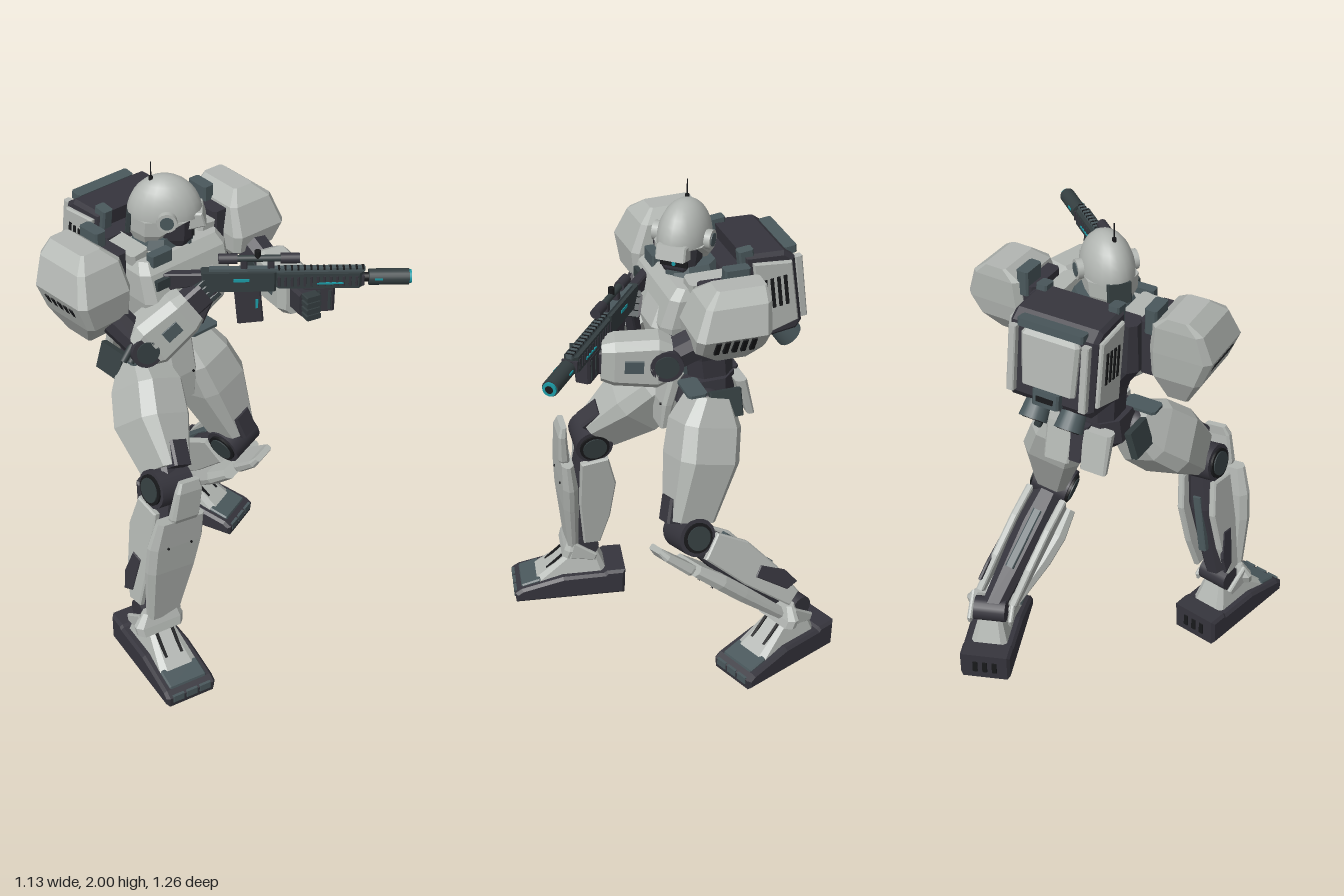
import * as THREE from 'three';

const mat = (name, color) => Object.assign(new THREE.MeshStandardMaterial({ color }), { name });
const V = (p) => new THREE.Vector3(...p);

// Stack of chamfered rectangles, rows are [y, width, depth, x, z]
function loft(rows, cut = 0.25) {
  const rings = [...rows].sort((a, b) => a[0] - b[0]).map(([y, w, d, x = 0, z = 0]) => {
    const c = cut * Math.min(w, d), a = w / 2, b = d / 2;
    return [[-a + c, b], [a - c, b], [a, b - c], [a, -b + c], [a - c, -b], [-a + c, -b], [-a, -b + c], [-a, b - c]]
      .map(([px, pz]) => [px + x, y, pz + z]);
  });
  const out = [], tri = (...ps) => ps.forEach((p) => out.push(...p));
  for (let r = 0; r < rings.length - 1; r++) for (let i = 0; i < 8; i++) {
    const j = (i + 1) % 8, lo = rings[r], hi = rings[r + 1];
    tri(lo[i], lo[j], hi[j]);
    tri(lo[i], hi[j], hi[i]);
  }
  const bot = rings[0], top = rings[rings.length - 1];
  for (let i = 1; i < 7; i++) { tri(top[0], top[i], top[i + 1]); tri(bot[0], bot[i + 1], bot[i]); }
  const g = new THREE.BufferGeometry();
  g.setAttribute('position', new THREE.Float32BufferAttribute(out, 3));
  g.computeVertexNormals();
  return g;
}
const block = (w, h, d, cut = 0.15) => loft([[-h / 2, w, d], [h / 2, w, d]], cut);
// Side outline of [z, y] points, given a width along x
function side(pts, width, b = 0.006) {
  const g = new THREE.ExtrudeGeometry(new THREE.Shape(pts.map((p) => new THREE.Vector2(...p))), {
    depth: width - 2 * b, bevelThickness: b, bevelSize: b, bevelOffset: -b, bevelSegments: 1 });
  return g.translate(0, 0, b - width / 2).rotateY(-Math.PI / 2);
}
function cyl(r, len, axis = 'y', r2 = r) {
  const g = new THREE.CylinderGeometry(r2, r, len, 18);
  return axis === 'x' ? g.rotateZ(Math.PI / 2) : axis === 'z' ? g.rotateX(Math.PI / 2) : g;
}
function add(parent, name, geo, material, pos = [0, 0, 0], rot = [0, 0, 0]) {
  const m = new THREE.Mesh(geo, material);
  m.name = name;
  m.position.set(...pos);
  m.rotation.set(...rot);
  parent.add(m);
}
function group(parent, name, pos, rot = [0, 0, 0]) {
  const g = new THREE.Group();
  g.name = name;
  g.position.set(...pos);
  g.rotation.set(...rot);
  parent.add(g);
  return g;
}
// Group at joint a whose -y axis runs to joint b, with +z near the hint
function limb(parent, name, a, b, hint = [0, 0, 1]) {
  const g = group(parent, name, a);
  const y = V(a).sub(V(b)).normalize(), x = y.clone().cross(V(hint)).normalize();
  g.quaternion.setFromRotationMatrix(new THREE.Matrix4().makeBasis(x, y, x.clone().cross(y)));
  g.userData.length = V(a).distanceTo(V(b));
  return g;
}

export function createModel() {
  const root = new THREE.Group();
  root.name = 'armouredRobot';
  const light = mat('lightGreyArmour', 0xb2b6b2), dark = mat('darkFrame', 0x36353d);
  const slate = mat('slateTrim', 0x4a585c), gun = mat('gunmetal', 0x343e40);
  const black = mat('black', 0x18191b), cyan = mat('cyanGlow', 0x1b9ba6);

  function leg(s, hip, knee, ankle, footAt, yaw) {
    const hint = [Math.sin(yaw) * 0.4, 0, Math.cos(yaw)];
    // Thigh
    const th = limb(root, 'thigh', hip, knee, hint), L = th.userData.length;
    add(th, 'hipJoint', new THREE.SphereGeometry(0.075, 16, 12), dark);
    add(th, 'thighArmour', loft([[0.05, 0.16, 0.15], [-0.06, 0.22, 0.25], [-0.2, 0.24, 0.26, s * 0.01],
      [-L + 0.06, 0.135, 0.19, 0, 0.01]], 0.18), light);
    add(th, 'thighCore', block(0.11, 0.14, 0.13), dark, [0, -L + 0.06, 0]);
    add(th, 'kneeHousing', block(0.085, 0.1, 0.06), dark, [0, -L + 0.1, 0.095]);
    // Shin
    const sh = limb(root, 'shin', knee, ankle, hint), S = -sh.userData.length;
    add(sh, 'kneeJoint', cyl(0.078, 0.15, 'x'), dark);
    for (const e of [-1, 1]) {
      add(sh, 'kneeRing', cyl(0.062, 0.012, 'x'), black, [e * 0.078, 0, 0]);
      add(sh, 'kneeCap', cyl(0.05, 0.014, 'x'), gun, [e * 0.082, 0, 0]);
      add(sh, 'calfPanel', side([[0.055, -0.08], [-0.06, -0.06], [-0.1, -0.2], [-0.085, -0.38], [-0.05, S + 0.06],
        [0.02, S + 0.06], [0.05, -0.3]], 0.03), light, [e * 0.075, 0, 0]);
      add(sh, 'shinBolt', cyl(0.005, 0.01, 'z'), black, [e * 0.055 - 0.01, -0.2, 0.128]);
    }
    add(sh, 'calfPiston', side([[0, -0.32], [-0.05, -0.31], [-0.09, -0.42], [-0.08, -0.5], [-0.03, -0.48]], 0.014, 0.003),
      dark, [s * 0.088, 0, 0]);
    add(sh, 'kneePad', loft([[0.09, 0.09, 0.025, 0, 0.125], [0.05, 0.12, 0.035, 0, 0.13], [-0.07, 0.13, 0.045, 0, 0.12],
      [-0.13, 0.1, 0.03, 0, 0.1]]), light);
    add(sh, 'shinGuard', loft([[-0.08, 0.22, 0.05, -0.01, 0.11], [-0.2, 0.25, 0.065, -0.01, 0.095], [-0.32, 0.23, 0.065, -0.01, 0.085],
      [S + 0.02, 0.15, 0.045, 0, 0.06]], 0.35), light);
    add(sh, 'calfCore', loft([[-0.04, 0.11, 0.11], [-0.2, 0.13, 0.15, 0, -0.005], [S, 0.09, 0.09]]), dark);
    add(sh, 'calfRail', block(0.035, 0.26, 0.03), slate, [0, -0.27, -0.075], [0.05, 0, 0]);
    // Foot
    const ft = group(root, 'foot', footAt, [0, yaw, 0]);
    const sole = side([[-0.235, 0], [0.235, 0], [0.24, 0.045], [0.21, 0.065], [0.03, 0.108], [-0.15, 0.11],
      [-0.16, 0.12], [-0.24, 0.12]], 0.22, 0.012);
    const p = sole.attributes.position;
    for (let i = 0; i < p.count; i++) p.setX(i, p.getX(i) * (0.97 + 0.12 * p.getZ(i)));
    sole.computeVertexNormals();
    add(ft, 'sole', sole, dark);
    add(ft, 'instep', loft([[0.08, 0.165, 0.33, 0, -0.005], [0.205, 0.1, 0.1, 0, -0.07]], 0.15), light);
    for (const e of [-1, 1]) {
      add(ft, 'instepGroove', block(0.012, 0.006, 0.17), black, [e * 0.035, 0.145, 0.07], [0.744, 0, 0]);
      add(ft, 'ankleFlap', side([[0.0, 0.2], [-0.11, 0.18], [-0.12, 0.21], [-0.02, 0.28]], 0.02), light, [e * 0.085, 0, 0]);
    }
    add(ft, 'toeCap', side([[0.215, 0.05], [0.208, 0.074], [0.13, 0.096], [0.12, 0.075]], 0.165), slate);
    for (const i of [-1, 0, 1]) {
      add(ft, 'toeTread', block(0.05, 0.03, 0.012), slate, [i * 0.06, 0.037, 0.236]);
      add(ft, 'heelVent', block(0.02, 0.05, 0.008), black, [i * 0.04, 0.06, -0.239]);
    }
    add(ft, 'ankleJoint', cyl(0.05, 0.13, 'x'), dark, [0, 0.24, -0.08]);
    add(ft, 'ankleGuard', loft([[0.2, 0.2, 0.06, s * 0.01, 0.0], [0.235, 0.21, 0.06, s * 0.01, -0.01], [0.285, 0.15, 0.04, 0, -0.02]], 0.35), light);
  }
  leg(-1, [-0.17, 1.12, -0.1], [-0.31, 0.81, 0.2], [-0.4, 0.23, 0.215], [-0.415, 0, 0.285], -0.19);
  leg(1, [0.11, 1.12, -0.15], [0.25, 0.64, -0.03], [0.305, 0.23, -0.46], [0.335, 0, -0.38], 0.36);

  // Pelvis, skirts and waist
  const body = group(root, 'body', [-0.04, 0, 0]);
  add(body, 'pelvis', loft([[1.05, 0.14, 0.14, 0, -0.17], [1.12, 0.28, 0.24, 0, -0.17], [1.22, 0.26, 0.22, 0, -0.18]]), dark);
  add(body, 'frontSkirt', loft([[0.99, 0.1, 0.03, 0, -0.01], [1.1, 0.13, 0.05, 0, -0.025], [1.23, 0.14, 0.06, 0, -0.06]]), light);
  for (const s of [-1, 1]) {
    add(body, 'hipFlap', block(0.14, 0.012, 0.08), slate, [s * 0.15, 1.215, -0.09]);
    add(body, 'hipPlate', block(0.03, 0.11, 0.13), gun, [s * 0.2, 1.15, -0.21], [0, 0, s * 0.3]);
    add(body, 'skirtBolt', cyl(0.005, 0.01, 'z'), black, [s * 0.04, 1.1, 0]);
    add(body, 'rearSkirt', loft([[1.04, 0.11, 0.03, s * 0.08, -0.345], [1.2, 0.13, 0.05, s * 0.075, -0.3]]), light);
  }
  add(body, 'rearSkirtCentre', loft([[1.06, 0.06, 0.03, 0, -0.34], [1.21, 0.08, 0.05, 0, -0.3]]), dark);
  add(body, 'waist', loft([[1.2, 0.22, 0.18, 0, -0.2], [1.3, 0.22, 0.19, 0, -0.19], [1.42, 0.28, 0.2, 0, -0.18]]), dark);
  add(body, 'belly', loft([[1.22, 0.1, 0.05, 0, -0.1], [1.33, 0.13, 0.06, 0, -0.085]]), slate);
  for (const i of [0, 1, 2]) add(body, 'bellyRib', block(0.08, 0.012, 0.01), black, [0, 1.25 + i * 0.028, -0.072 + i * 0.005]);

  // Chest
  add(body, 'chest', loft([[1.35, 0.26, 0.13, 0, -0.06], [1.42, 0.38, 0.24, 0, -0.08], [1.52, 0.42, 0.29, 0, -0.095],
    [1.63, 0.42, 0.25, 0, -0.11], [1.67, 0.38, 0.2, 0, -0.12]], 0.12), light);
  add(body, 'chestBack', loft([[1.4, 0.32, 0.14, 0, -0.22], [1.5, 0.46, 0.13, 0, -0.24], [1.7, 0.45, 0.09, 0, -0.255]]), dark);
  add(body, 'chestProw', loft([[1.4, 0.1, 0.04, 0.06, 0.03], [1.5, 0.2, 0.08, 0.06, 0.03], [1.6, 0.16, 0.04, 0.04, 0.0]], 0.4), light);
  add(body, 'collar', loft([[1.64, 0.26, 0.2, 0, -0.13], [1.71, 0.2, 0.16, 0, -0.13]]), slate);
  add(body, 'neck', cyl(0.06, 0.12), dark, [0, 1.7, -0.12]);
  for (const s of [-1, 1]) add(body, 'collarPlate', block(0.08, 0.05, 0.17), light, [s * 0.165, 1.67, -0.14], [0, 0, -s * 0.15]);
  add(body, 'collarBlock', block(0.1, 0.09, 0.04), slate, [-0.11, 1.65, -0.02]);
  add(body, 'chestVent', block(0.1, 0.04, 0.02), gun, [-0.12, 1.59, 0.03]);

  // Head, turned along the rifle
  const head = group(root, 'head', [-0.045, 1.76, -0.11], [0, 0.85, 0]);
  const dome = new THREE.SphereGeometry(1, 20, 8, 0, Math.PI * 2, 0, Math.PI / 2).scale(0.1, 0.152, 0.142);
  add(head, 'helmetDome', dome, light, [0, 0.028, 0]);
  add(head, 'helmetSkirt', loft([[-0.08, 0.13, 0.11, 0, -0.055], [-0.03, 0.185, 0.18, 0, -0.045], [0.03, 0.195, 0.275]], 0.34), light);
  add(head, 'brim', side([[0.14, 0.05], [0.155, -0.005], [0.08, -0.025], [0.03, 0.045]], 0.12), light);
  add(head, 'face', loft([[-0.12, 0.09, 0.08, 0, 0.035], [-0.06, 0.14, 0.13, 0, 0.04], [0.02, 0.16, 0.18, 0, 0.025]]), dark);
  add(head, 'visor', block(0.11, 0.022, 0.012), black, [0, -0.035, 0.106]);
  add(head, 'eye', cyl(0.008, 0.014, 'z'), cyan, [0, -0.035, 0.107]);
  add(head, 'chin', block(0.08, 0.05, 0.05), slate, [0, -0.095, 0.075]);
  add(head, 'rearPlate', block(0.09, 0.08, 0.02), gun, [0, 0.0, -0.135], [0.1, 0, 0]);
  for (const s of [-1, 1]) {
    add(head, 'earRim', cyl(0.038, 0.025, 'x'), light, [s * 0.105, 0.04, 0.01]);
    add(head, 'earDisc', cyl(0.026, 0.03, 'x'), slate, [s * 0.106, 0.04, 0.01]);
  }
  add(head, 'antennaBase', cyl(0.008, 0.03), black, [-0.01, 0.165, -0.05]);
  add(head, 'antenna', cyl(0.003, 0.085, 'y', 0.002), black, [-0.01, 0.198, -0.05]);

  // Shoulders
  for (const [s, x, low] of [[-1, -0.425, 0.03], [1, 0.345, -0.01]]) {
    const sp = group(root, 'shoulder', [x, 1.58, -0.13], [0, s * -0.03, 0]);
    add(sp, 'pauldron', loft([[0.185, 0.09, 0.19, -s * 0.01, -0.05], [0.14, 0.2, 0.25, -s * 0.01, -0.025], [0.03, 0.25, 0.29],
      [-0.05 - low, 0.2, 0.27, -s * 0.02], [-0.13 - low * 2, 0.09, 0.13, -s * 0.03, -0.02]], 0.1), light);
    add(sp, 'shoulderMount', block(0.09, 0.22, 0.18), dark, [-s * 0.125, 0.02, -0.03]);
    add(sp, 'shoulderClamp', block(0.05, 0.1, 0.1), slate, [-s * 0.12, 0.14, -0.08]);
    for (let i = 0; i < 5; i++) add(sp, 'pauldronVent', block(0.012, 0.07, 0.02), black,
      [s * (0.103 - low * 0.2), -0.01 - low * 0.5, -0.07 + i * 0.034], [0, 0, -s * 0.5]);
  }

  // Arms and hands
  function arm(shoulder, elbow, wrist, hint, width) {
    const up = limb(root, 'upperArm', shoulder, elbow);
    add(up, 'upperArmCore', loft([[0, 0.12, 0.12], [-up.userData.length, 0.11, 0.11]]), dark);
    const fa = limb(root, 'forearm', elbow, wrist, hint), L = fa.userData.length;
    add(fa, 'elbow', cyl(0.062, 0.14, 'x'), dark);
    add(fa, 'elbowRing', cyl(0.045, 0.15, 'x'), gun);
    add(fa, 'forearmArmour', loft([[0.02, width * 0.8, 0.15], [-0.03, width, 0.2], [-L * 0.8, width, 0.18], [-L, width * 0.8, 0.15]], 0.2), light);
    for (const e of [-1, 1]) add(fa, 'forearmPatch', block(0.008, 0.07, 0.05), slate, [e * width / 2, -L * 0.5, 0]);
    add(fa, 'palm', block(0.08, 0.08, 0.1), dark, [0, -L - 0.03, 0]);
    for (let i = 0; i < 4; i++) add(fa, 'finger', block(0.06, 0.055, 0.022), gun, [0, -L - 0.085, -0.039 + i * 0.026]);
  }
  arm([-0.4, 1.56, -0.12], [-0.29, 1.37, 0.04], [-0.1, 1.5, 0.09], [0.5, -0.8, 0.3], 0.15);
  arm([0.33, 1.58, -0.12], [0.31, 1.49, 0.09], [0.25, 1.5, 0.32], [0, 1, 0], 0.14);
  for (const i of [0, 1]) add(root, 'elbowSpur', cyl(0.014, 0.09), gun, [-0.36 + i * 0.035, 1.38 - i * 0.02, 0.05], [0, 0, -0.7]);

  // Rifle, pointing along its own +z
  const gunG = group(root, 'rifle', [-0.14, 1.59, 0.02], [0, 0.873, 0]);
  add(gunG, 'stock', side([[-0.02, 0.03], [0.13, 0.03], [0.13, -0.02], [0.03, -0.035], [-0.02, -0.07]], 0.04), dark);
  add(gunG, 'receiver', block(0.05, 0.08, 0.28), gun, [0, -0.005, 0.26]);
  add(gunG, 'handguard', block(0.056, 0.062, 0.33, 0.3), gun, [0, 0, 0.56]);
  add(gunG, 'topRail', block(0.025, 0.016, 0.58), slate, [0, 0.038, 0.44]);
  for (let i = 0; i < 14; i++) {
    add(gunG, 'handguardRib', block(0.062, 0.04, 0.01), dark, [0, 0, 0.41 + i * 0.024]);
    add(gunG, 'railSlot', block(0.026, 0.008, 0.008), black, [0, 0.043, 0.41 + i * 0.024]);
  }
  add(gunG, 'barrel', cyl(0.018, 0.06, 'z'), black, [0, 0, 0.735]);
  add(gunG, 'suppressor', cyl(0.031, 0.15, 'z'), gun, [0, 0, 0.82]);
  add(gunG, 'muzzle', cyl(0.026, 0.016, 'z'), cyan, [0, 0, 0.896]);
  add(gunG, 'bore', cyl(0.015, 0.018, 'z'), black, [0, 0, 0.896]);
  add(gunG, 'magazine', block(0.04, 0.15, 0.1), dark, [0, -0.11, 0.3], [-0.1, 0, 0]);
  add(gunG, 'grip', block(0.04, 0.15, 0.055), dark, [0, -0.11, 0.13], [0.35, 0, 0]);
  add(gunG, 'foregrip', block(0.06, 0.1, 0.12), dark, [0, -0.08, 0.56]);
  for (const z of [0.52, 0.56, 0.6]) add(gunG, 'foregripBand', block(0.066, 0.08, 0.012), gun, [0, -0.08, z]);
  for (const s of [-1, 1]) {
    add(gunG, 'receiverLight', block(0.006, 0.012, 0.06), cyan, [s * 0.025, 0.005, 0.27]);
    add(gunG, 'handguardLight', block(0.006, 0.006, 0.1), cyan, [s * 0.03, -0.008, 0.6]);
    add(gunG, 'magazineLight', block(0.005, 0.04, 0.01), cyan, [s * 0.02, -0.1, 0.33]);
    add(gunG, 'suppressorLight', block(0.005, 0.008, 0.03), cyan, [s * 0.03, 0.006, 0.78]);
  }
  add(gunG, 'scope', cyl(0.013, 0.25, 'z'), gun, [0, 0.085, 0.34]);
  for (const z of [0.22, 0.45]) add(gunG, 'scopeBell', cyl(0.02, 0.07, 'z'), dark, [0, 0.085, z]);
  for (const z of [0.28, 0.38]) add(gunG, 'scopeMount', block(0.022, 0.05, 0.025), dark, [0, 0.06, z]);
  add(gunG, 'scopeKnob', cyl(0.012, 0.03), black, [0, 0.103, 0.33]);

  // Backpack, its top sloping down to the rear
  const pack = group(root, 'backpack', [-0.04, 1.585, -0.405], [0.12, 0, 0]);
  add(pack, 'packCore', side([[0.105, 0.19], [-0.06, 0.165], [-0.1, 0.13], [-0.105, -0.15], [-0.08, -0.18], [0.1, -0.185]], 0.36, 0.015), dark);
  add(pack, 'packLink', block(0.24, 0.2, 0.06), dark, [0, 0, 0.125]);
  add(pack, 'rearPanel', loft([[-0.1, 0.22, 0.04, 0, -0.105], [0.1, 0.24, 0.04, 0, -0.105], [0.13, 0.2, 0.02, 0, -0.1]], 0.3), light);
  add(pack, 'rearRail', block(0.27, 0.03, 0.05), slate, [0, 0.14, -0.1]);
  add(pack, 'rearBox', block(0.11, 0.06, 0.05), slate, [0, -0.135, -0.11]);
  add(pack, 'rearBoxSlot', block(0.07, 0.02, 0.008), black, [0, -0.135, -0.136]);
  for (const s of [-1, 1]) {
    add(pack, 'sidePanel', side([[0.075, 0.155], [-0.08, 0.125], [-0.085, -0.13], [0.07, -0.16]], 0.026), light, [s * 0.183, 0, 0]);
    for (let i = 0; i < 4; i++)
      add(pack, 'sideGrille', block(0.008, 0.125, 0.014), black, [s * 0.196, 0.015, -0.045 + i * 0.027]);
    add(pack, 'rearPost', block(0.03, 0.26, 0.03), light, [s * 0.15, -0.01, -0.118]);
    add(pack, 'frontPost', block(0.045, 0.13, 0.06), slate, [s * 0.15, 0.14, 0.09]);
    add(pack, 'thruster', cyl(0.055, 0.12, 'y', 0.042), slate, [s * 0.075, -0.21, -0.05], [0.6, 0, 0]);
    add(pack, 'thrusterBore', cyl(0.042, 0.124, 'y', 0.035), black, [s * 0.075, -0.21, -0.05], [0.6, 0, 0]);
  }
  return root;
}
